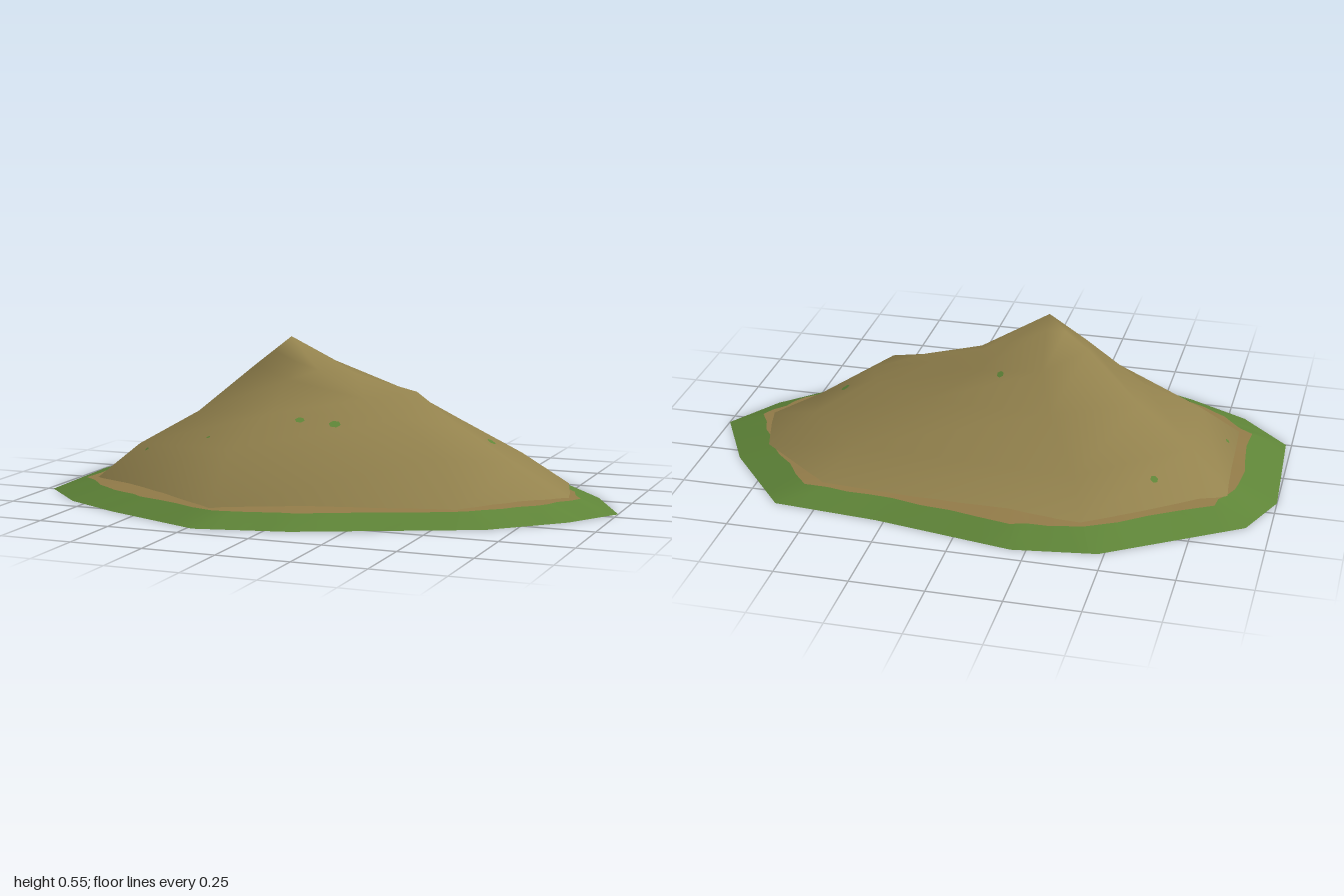
import * as THREE from 'three';

const material = (name, color) => {
  const m = new THREE.MeshStandardMaterial({ color, side: THREE.DoubleSide });
  m.name = name;
  return m;
};

// Skins closed loops of points, ordered from the outside inwards
function loft(rings, apex) {
  const n = rings[0].length;
  const points = rings.flat();
  const index = [];
  for (let r = 0; r < rings.length - 1; r++) {
    for (let k = 0; k < n; k++) {
      const a = r * n + k, b = r * n + (k + 1) % n;
      index.push(a, a + n, b, b, a + n, b + n);
    }
  }
  if (apex) {
    const top = points.push(apex) - 1, start = top - n;
    for (let k = 0; k < n; k++) index.push(start + k, top, start + (k + 1) % n);
  }
  const geo = new THREE.BufferGeometry();
  geo.setAttribute('position', new THREE.Float32BufferAttribute(points.flat(), 3));
  geo.setIndex(index);
  geo.computeVertexNormals();
  return geo;
}

export function createModel() {
  const group = new THREE.Group();
  const dirt = material('dirt', 0x94834e);
  const packedDirt = material('packed dirt', 0x937c49);
  const grass = material('grass', 0x5f8538);
  const add = (name, geo, mat) => {
    const mesh = new THREE.Mesh(geo, mat);
    mesh.name = name;
    group.add(mesh);
    return mesh;
  };

  // Mound: eight-sided contour loops, from the foot to just below the peak
  const contours = [
    [[0.84, 0.045, -0.03], [0.55, 0.045, 0.3], [-0.22, 0.045, 0.57], [-0.82, 0.045, 0.22],
      [-0.84, 0.045, -0.25], [-0.4, 0.05, -0.55], [0.5, 0.05, -0.49], [0.77, 0.05, -0.27]],
    [[0.65, 0.15, -0.03], [0.46, 0.2, 0.23], [-0.21, 0.22, 0.43], [-0.69, 0.165, 0.14],
      [-0.7, 0.16, -0.15], [-0.35, 0.145, -0.42], [0.42, 0.145, -0.38], [0.62, 0.16, -0.2]],
    [[0.46, 0.265, -0.02], [0.26, 0.3, 0.07], [-0.16, 0.31, 0.2], [-0.5, 0.28, 0.05],
      [-0.51, 0.275, -0.1], [-0.24, 0.3, -0.3], [0.2, 0.28, -0.25], [0.42, 0.275, -0.13]],
    [[0.27, 0.37, -0.09], [0.12, 0.35, 0.02], [-0.15, 0.41, 0.06], [-0.3, 0.45, 0],
      [-0.32, 0.44, -0.06], [-0.2, 0.42, -0.23], [0.03, 0.38, -0.18], [0.23, 0.365, -0.13]],
    [[0.05, 0.42, -0.07], [-0.06, 0.44, 0], [-0.15, 0.47, 0.01], [-0.24, 0.5, -0.02],
      [-0.24, 0.5, -0.06], [-0.18, 0.515, -0.1], [-0.05, 0.46, -0.13], [0.04, 0.42, -0.1]],
  ];
  const mound = add('mound', loft(contours, [-0.18, 0.55, -0.04]), dirt);

  // Skirt: ground outline with a ragged border between grass and dirt
  const outline = [
    [1, -0.05], [0.88, 0.14], [0.66, 0.35], [0.08, 0.61], [-0.23, 0.68],
    [-0.6, 0.53], [-0.81, 0.42], [-0.98, 0.25], [-1, -0.18], [-0.92, -0.37],
    [-0.48, -0.65], [-0.2, -0.69], [0.28, -0.61], [0.64, -0.58], [0.87, -0.3],
  ];
  const edge = [], border = [], lip = [];
  outline.forEach(([x0, z0], i) => {
    const [x1, z1] = outline[(i + 1) % outline.length];
    for (let j = 0; j < 4; j++) {
      const x = x0 + (x1 - x0) * j / 4, z = z0 + (z1 - z0) * j / 4;
      const s = 0.872 + 0.007 * Math.sin((i * 4 + j) * 2.3);
      edge.push([x, 0, z]);
      border.push([x * s, 0.045, z * s]);
      lip.push([x * 0.72, 0.06, z * 0.72]);
    }
  });
  add('grassSkirt', loft([edge, border]), grass);
  add('dirtSkirt', loft([border, lip]), packedDirt);

  // Small grass tufts lying on the slopes
  const tufts = [[-0.6, -0.31, 0.014], [-0.05, -0.21, 0.013], [0.54, -0.09, 0.017], [-0.79, 0.08, 0.009],
    [-0.05, 0.2, 0.017], [0.07, 0.18, 0.021], [-0.63, 0.2, 0.008], [-0.36, 0.27, 0.008]];
  const ray = new THREE.Raycaster();
  const down = new THREE.Vector3(0, -1, 0);
  mound.updateMatrixWorld();
  for (const [x, z, radius] of tufts) {
    ray.set(new THREE.Vector3(x, 2, z), down);
    const hit = ray.intersectObject(mound)[0];
    if (!hit) continue;
    const tuft = add('grassTuft', new THREE.CircleGeometry(radius, 6), grass);
    tuft.position.copy(hit.point).addScaledVector(hit.face.normal, 0.003);
    tuft.quaternion.setFromUnitVectors(new THREE.Vector3(0, 0, 1), hit.face.normal);
  }
  return group;
}
